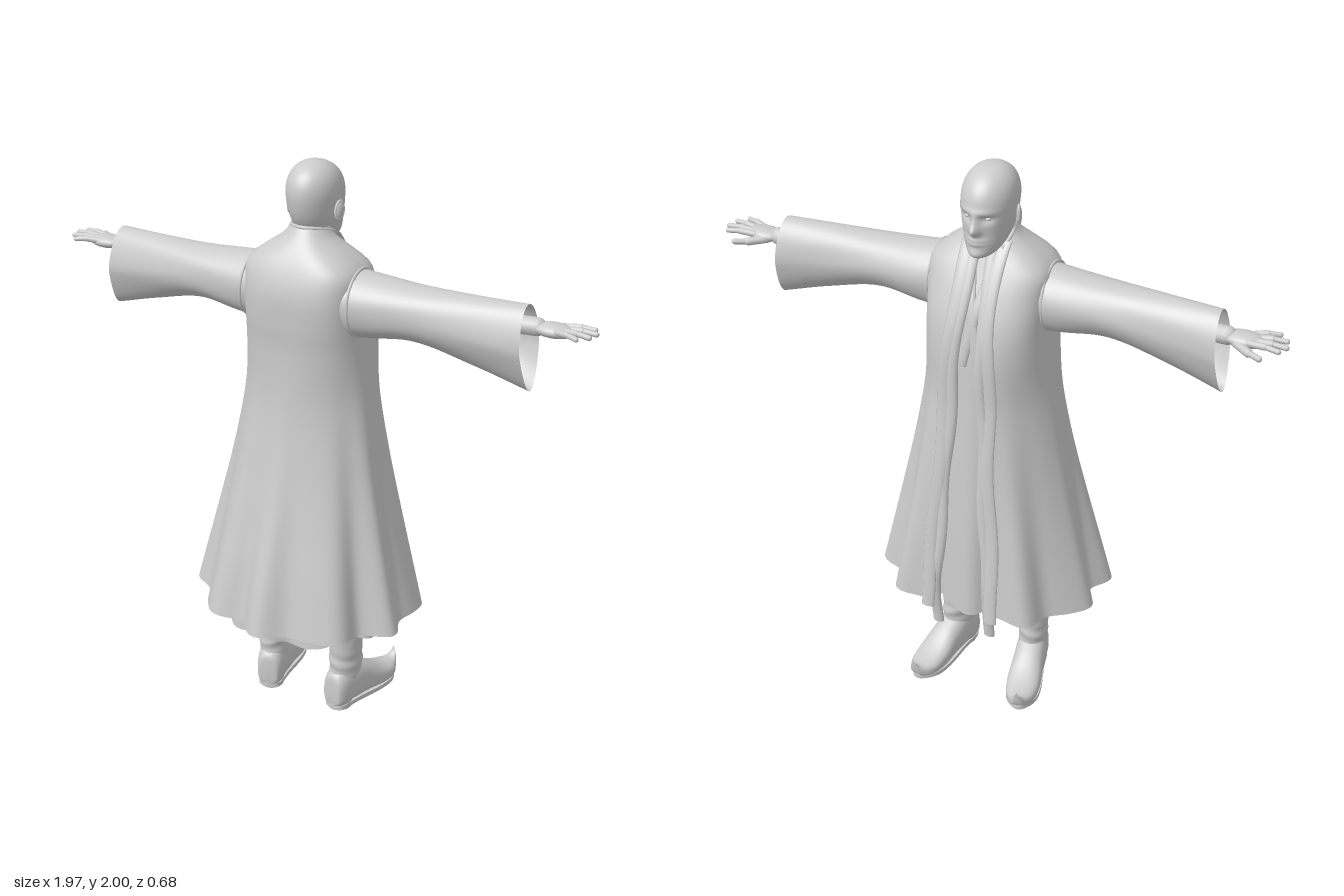
import * as THREE from 'three';
import { mergeVertices } from 'three/addons/utils/BufferGeometryUtils.js';
import { ParametricGeometry } from 'three/addons/geometries/ParametricGeometry.js';

const grey = new THREE.MeshStandardMaterial({ color: 0xcccccc, side: THREE.DoubleSide });
const V = (x, y, z) => new THREE.Vector3(x, y, z);
const { lerp, smoothstep } = THREE.MathUtils;
const bump = (d, s) => Math.exp(-(d * d) / (2 * s * s));
const power = (n, e) => Math.sign(n) * Math.abs(n) ** e;

function add(parent, name, geometry) {
  const mesh = new THREE.Mesh(geometry, grey);
  mesh.name = name;
  parent.add(mesh);
  return mesh;
}

// Smooth lookup in rows of [key, value, value, ...]
function keyed(rows) {
  const it = new THREE.CubicInterpolant(rows.map(r => r[0]), rows.flatMap(r => r.slice(1)), rows[0].length - 1, []);
  return t => Array.from(it.evaluate(t));
}

// Welded smooth surface from fn(u, v) -> Vector3
function surf(fn, nu, nv) {
  let g = new ParametricGeometry((u, v, out) => out.copy(fn(u, v)), nu, nv);
  g.deleteAttribute('uv');
  g.deleteAttribute('normal');
  g = mergeVertices(g, 1e-5);
  g.computeVertexNormals();
  return g;
}

// Flat cloth band following a path in front of the body
const ribbon = (path, half, thick, n = 60) => surf((u, v) => {
  const a = u * Math.PI * 2, p = path(v);
  return V(p.x + half * Math.cos(a), p.y, p.z + thick * Math.sin(a));
}, 12, n);

// Rounded limb from a to b
function limb(parent, name, a, b, r) {
  const m = add(parent, name, new THREE.CapsuleGeometry(r, a.distanceTo(b), 6, 12));
  m.position.copy(a).lerp(b, 0.5);
  m.quaternion.setFromUnitVectors(V(0, 1, 0), b.clone().sub(a).normalize());
}

// Garment profiles: height, half width, back z, front z
const CZ = -0.02;
const coat = keyed([
  [0.42, 0.395, 0.325, -0.335], [0.6, 0.355, 0.285, -0.318], [0.8, 0.312, 0.235, -0.297], [1.0, 0.27, 0.19, -0.277],
  [1.2, 0.235, 0.157, -0.255], [1.4, 0.213, 0.147, -0.237], [1.5, 0.206, 0.152, -0.215], [1.6, 0.206, 0.15, -0.175],
  [1.67, 0.201, 0.128, -0.137], [1.72, 0.145, 0.1, -0.105], [1.76, 0.088, 0.07, -0.08], [1.795, 0.066, 0.046, -0.06]]);
const robe = keyed([
  [0.36, 0.295, 0.262, -0.275], [0.6, 0.275, 0.235, -0.268], [0.8, 0.25, 0.195, -0.258], [1.2, 0.2, 0.12, -0.228],
  [1.4, 0.18, 0.11, -0.21], [1.55, 0.18, 0.12, -0.18], [1.66, 0.15, 0.09, -0.125], [1.74, 0.06, 0.03, -0.085]]);
const opening = keyed([[0.42, 0.125], [1.0, 0.09], [1.5, 0.065], [1.795, 0.055]]);

// Cross-sections turn boxier across the chest and shoulders
const boxy = y => 1 - 0.33 * smoothstep(y, 1.2, 1.55) * (1 - smoothstep(y, 1.68, 1.78));

// Angle 0 is the back, PI the front; folds deepen toward the hem
function onGarment(profile, a, y, amp, count) {
  const [w, back, front] = profile(y), e = boxy(y);
  const d = Math.cos(a) > 0 ? back - CZ : CZ - front;
  const k = amp * Math.pow(1 - smoothstep(y, 0.3, 1.45), 1.2);
  const r = 1 + k * (Math.cos(count * a) + 0.35 * Math.cos((count * 2 - 5) * a + 0.8));
  return V(w * r * power(Math.sin(a), e), y, CZ + d * r * power(Math.cos(a), e));
}
function frontZ(profile, x, y) {
  const [w, , front] = profile(y), e = boxy(y);
  return CZ + (front - CZ) * Math.max(0, 1 - Math.abs(x / w) ** (2 / e)) ** (e / 2);
}

function buildClothes(g) {
  add(g, 'coat', surf((u, v) => {
    const y = lerp(0.42, 1.795, v);
    const gap = Math.asin(Math.min(0.95, opening(y)[0] / coat(y)[0]) ** (1 / boxy(y)));
    return onGarment(coat, (u * 2 - 1) * (Math.PI - gap), y, 0.062, 10);
  }, 220, 70));
  // Robe hem hangs lower at the back
  add(g, 'innerRobe', surf((u, v) => {
    const a = (u * 2 - 1) * Math.PI;
    const p = onGarment(robe, a, lerp(0.36, 1.74, v), 0.065, 10);
    p.y += (0.022 - 0.022 * Math.cos(a) + 0.012 * Math.cos(7 * a)) * (1 - smoothstep(v, 0, 0.15));
    return p;
  }, 160, 50));
  add(g, 'coatCollar', new THREE.TubeGeometry(new THREE.CatmullRomCurve3([
    V(-0.057, 1.74, -0.095), V(-0.07, 1.775, -0.04), V(-0.05, 1.793, 0.018), V(0, 1.797, 0.044),
    V(0.05, 1.793, 0.018), V(0.07, 1.775, -0.04), V(0.057, 1.74, -0.095)]), 48, 0.006, 10));
  for (const s of [-1, 1]) {
    // Coat edge, hanging stole and crossed neck band
    add(g, 'lapel', ribbon(t => {
      const y = lerp(0.42, 1.76, t), x = s * (opening(y)[0] + 0.006 * Math.sin(y * 11));
      return V(x, y, frontZ(coat, x, y) - 0.004);
    }, 0.024, 0.009));
    add(g, 'stole', ribbon(t => {
      const y = lerp(0.33, 1.74, t), x = s * (opening(y)[0] - 0.024 + 0.005 * Math.sin(y * 14 + s));
      const z = Math.min(frontZ(robe, x, y), frontZ(coat, x, y));
      return V(x, y, z + 0.012 * (1 - t) + 0.028 * (1 - smoothstep(y, 0.33, 0.6)));
    }, 0.02, 0.012));
    add(g, 'neckBand', ribbon(t => {
      const y = lerp(1.36, 1.745, t), x = s * lerp(-0.03, 0.05, t);
      return V(x, y, frontZ(robe, x, y) - 0.003);
    }, 0.018, 0.008, 24));
  }
}

const sleeveShape = keyed([
  [0.16, 1.675, 1.445, 0.105, -0.115], [0.25, 1.667, 1.455, 0.096, -0.112], [0.4, 1.657, 1.472, 0.082, -0.1],
  [0.6, 1.655, 1.425, 0.062, -0.1], [0.78, 1.655, 1.37, 0.045, -0.11]]);
const sleeveSurf = (x0, x1, scale) => surf((u, v) => {
  const a = u * Math.PI * 2, x = lerp(x0, x1, v);
  const [top, bottom, back, front] = sleeveShape(x);
  const c = Math.cos(a), taper = 1 - 0.3 * Math.max(0, -c) * smoothstep(x, 0.3, 0.78);
  const fold = 1 + 0.015 * Math.sin(a * 5 + x * 9);
  return V(x - 0.012 * c * v * v, (top + bottom) / 2 + (top - bottom) / 2 * c * scale,
    (back + front) / 2 + (back - front) / 2 * Math.sin(a) * scale * taper * fold);
}, 56, 30);

function buildArm() {
  const g = new THREE.Group();
  g.name = 'arm';
  add(g, 'sleeve', sleeveSurf(0.16, 0.775, 1));
  add(g, 'sleeveLining', sleeveSurf(0.3, 0.74, 0.85));
  // Raised seam around the armhole
  add(g, 'armhole', new THREE.TubeGeometry(new THREE.CatmullRomCurve3(
    Array.from({ length: 16 }, (_, i) => {
      const a = i / 16 * Math.PI * 2;
      return V(0.2 - 0.004 * Math.cos(a), 1.563 + 0.114 * Math.cos(a), -0.005 + 0.107 * Math.sin(a));
    }), true), 64, 0.005, 8, true));
  limb(g, 'forearm', V(0.45, 1.575, -0.03), V(0.79, 1.583, -0.047), 0.03);
  const palm = add(g, 'palm', new THREE.SphereGeometry(1, 24, 16));
  palm.scale.set(0.068, 0.023, 0.042);
  palm.position.set(0.845, 1.583, -0.047);
  // Fingers: knuckle x, z, tip x, z
  for (const [kx, kz, tx, tz] of [[0.885, -0.077, 0.968, -0.092], [0.895, -0.058, 0.984, -0.06],
    [0.892, -0.037, 0.975, -0.022], [0.88, -0.02, 0.945, 0.01]]) {
    const a = V(kx - 0.02, 1.588, kz), b = V(tx - 0.006, 1.59, tz), mid = a.clone().lerp(b, 0.55).add(V(0, 0.004, 0));
    limb(g, 'finger', a, mid, 0.0108);
    limb(g, 'fingerTip', mid, b, 0.0088);
  }
  limb(g, 'thumb', V(0.82, 1.578, -0.07), V(0.875, 1.573, -0.107), 0.014);
  limb(g, 'thumbTip', V(0.875, 1.573, -0.107), V(0.915, 1.575, -0.13), 0.01);
  return g;
}

function buildBoot() {
  const g = new THREE.Group();
  g.name = 'boot';
  // Shaft with soft ankle wrinkles and a cuff edge
  const shaft = keyed([[0.08, 0.05, 0.055, -0.08], [0.17, 0.052, 0.05, -0.085], [0.25, 0.055, 0.05, -0.082],
    [0.35, 0.058, 0.05, -0.088], [0.55, 0.062, 0.053, -0.092]]);
  add(g, 'shaft', surf((u, v) => {
    const a = u * Math.PI * 2, y = lerp(0.08, 0.55, v), [w, back, front] = shaft(y);
    const r = 1 + 0.045 * bump(y - 0.185, 0.03) * Math.sin(y * 110 + 1.5 * Math.sin(a)) + 0.03 * smoothstep(y, 0.31, 0.32);
    return V(w * r * Math.sin(a), y, (back + front) / 2 + (back - front) / 2 * r * Math.cos(a));
  }, 36, 60));
  // Foot along its length: z, half width, bottom, top
  const foot = keyed([[0, 0.064, 0.001, 0.07, 0.072], [0.02, 0.063, 0.022, 0.035, 0.105], [0.07, 0.058, 0.038, 0.015, 0.135],
    [0.3, -0.02, 0.053, 0.014, 0.175], [0.5, -0.1, 0.056, 0.014, 0.14], [0.7, -0.18, 0.06, 0.01, 0.09], [0.85, -0.24, 0.05, 0.012, 0.068],
    [0.94, -0.277, 0.027, 0.024, 0.068], [0.98, -0.292, 0.013, 0.05, 0.084], [1, -0.296, 0.002, 0.095, 0.1]]);
  add(g, 'foot', surf((u, v) => {
    const a = u * Math.PI * 2, [z, w, low, high] = foot(v), c = Math.cos(a);
    return V(w * power(Math.sin(a), 0.85), (low + high) / 2 + (high - low) / 2 * power(c, c < 0 ? 0.45 : 0.9), z);
  }, 40, 60));
  const outline = new THREE.Shape(new THREE.SplineCurve([[0, -0.064], [0.04, -0.045], [0.047, 0.04], [0.061, 0.16],
    [0.05, 0.235], [0, 0.28], [-0.05, 0.235], [-0.061, 0.16], [-0.047, 0.04], [-0.04, -0.045], [0, -0.064]]
    .map(p => new THREE.Vector2(...p))).getPoints(48));
  const sole = add(g, 'sole', new THREE.ExtrudeGeometry(outline, { depth: 0.016, bevelEnabled: false }));
  sole.rotation.x = -Math.PI / 2;
  sole.position.y = 0.006;
  const heel = add(g, 'heel', new THREE.CylinderGeometry(0.044, 0.043, 0.03, 28));
  heel.scale.z = 1.1;
  heel.position.set(0, 0.015, 0.014);
  return g;
}

function buildHead() {
  const g = new THREE.Group();
  g.name = 'head';
  // Rows from chin to crown: half width, back z, front z
  const skull = keyed([[0, 0, -0.11, -0.11], [0.12, 0.036, -0.045, -0.165], [0.25, 0.062, 0, -0.17], [0.37, 0.077, 0.04, -0.167],
    [0.5, 0.086, 0.062, -0.168], [0.63, 0.088, 0.066, -0.162], [0.75, 0.075, 0.049, -0.137], [0.88, 0.043, 0.01, -0.09], [1, 0, -0.04, -0.04]]);
  add(g, 'skull', surf((u, v) => {
    const a = u * Math.PI * 2, y = 1.86 - 0.14 * Math.cos(Math.PI * v);
    const [w, back, front] = skull(v), p = V(w * Math.sin(a), y, (back + front) / 2 + (back - front) / 2 * Math.cos(a));
    if (Math.cos(a) < 0) {
      const x = Math.abs(p.x);
      p.z -= 0.024 * bump(x, 0.012) * bump(y - 1.824, 0.012) + 0.013 * bump(x, 0.01) * bump(y - 1.848, 0.02)
        + 0.006 * bump(x - 0.028, 0.024) * bump(y - 1.882, 0.008) - 0.011 * bump(x - 0.034, 0.014) * bump(y - 1.861, 0.009)
        + 0.007 * bump(x, 0.02) * (bump(y - 1.791, 0.005) + bump(y - 1.778, 0.005)) + 0.005 * bump(x, 0.018) * bump(y - 1.745, 0.012);
    }
    return p;
  }, 96, 80));
  limb(g, 'neck', V(0, 1.66, -0.015), V(0, 1.8, -0.035), 0.056);
  for (const s of [-1, 1]) {
    const eye = add(g, 'eye', new THREE.SphereGeometry(0.011, 16, 12));
    eye.scale.y = 0.6;
    eye.position.set(s * 0.034, 1.861, -0.143);
    const ear = new THREE.Group();
    ear.name = 'ear';
    add(ear, 'earBase', new THREE.SphereGeometry(0.02, 16, 12)).scale.z = 0.45;
    add(ear, 'earRim', new THREE.TorusGeometry(0.019, 0.005, 8, 24));
    ear.scale.set(0.85, 1.5, 1);
    ear.position.set(s * 0.093, 1.845, -0.042);
    ear.rotation.set(-0.12, s * (Math.PI / 2 - 0.4), 0);
    g.add(ear);
  }
  return g;
}

export function createModel() {
  const model = new THREE.Group();
  model.name = 'robedFigure';
  buildClothes(model);
  model.add(buildHead());
  for (const s of [-1, 1]) {
    const arm = buildArm();
    arm.scale.x = s;
    model.add(arm);
    const boot = buildBoot();
    boot.position.x = s * 0.147;
    boot.rotation.y = -s * 0.2;
    boot.scale.x = s;
    model.add(boot);
  }
  return model;
}
